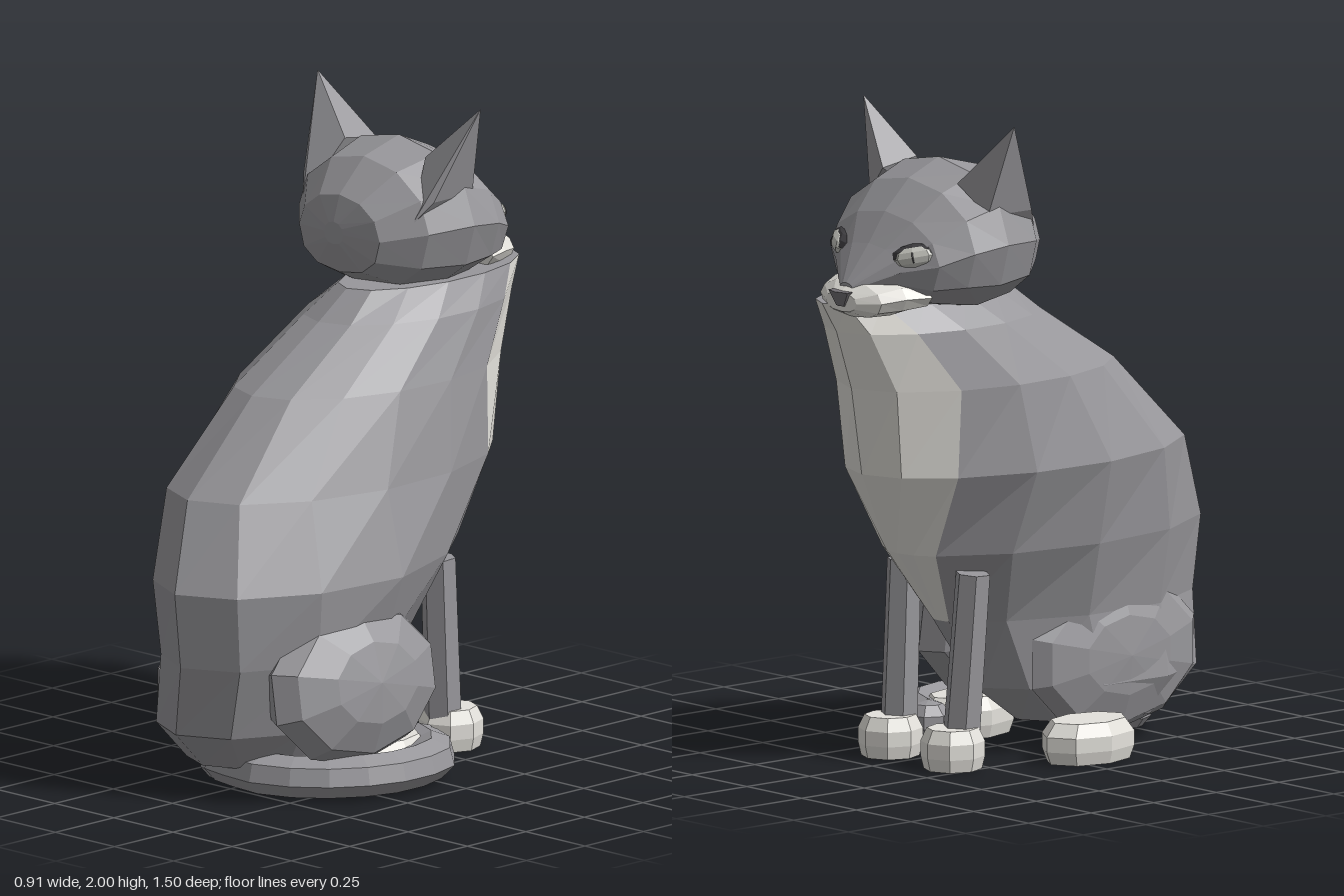
import * as THREE from 'three';
import { ConvexGeometry } from 'three/addons/geometries/ConvexGeometry.js';

const paint = (name, color) => Object.assign(new THREE.MeshStandardMaterial({ color }), { name });
const HEAD_X = -0.11;

// Gives every triangle its own normal for a faceted look
function facet(geo) {
  const g = geo.index ? geo.toNonIndexed() : geo;
  g.computeVertexNormals();
  return g;
}

// Skins a list of rings; isPale(i, j) sends a quad to the second material
function loft(rings, isPale = () => false) {
  const n = rings[0].length;
  const sets = [[], []];
  const tri = (k, ...pts) => pts.forEach((p) => sets[k].push(p.x, p.y, p.z));
  for (let i = 0; i < rings.length - 1; i++) {
    for (let j = 0; j < n; j++) {
      const k = isPale(i, j) ? 1 : 0;
      const a = rings[i][j], b = rings[i][(j + 1) % n];
      const c = rings[i + 1][j], d = rings[i + 1][(j + 1) % n];
      tri(k, a, c, b);
      tri(k, b, c, d);
    }
  }
  const middle = (ring) => ring.reduce((s, p) => s.add(p), new THREE.Vector3()).divideScalar(n);
  const first = rings[0], last = rings[rings.length - 1];
  for (let j = 0; j < n; j++) {
    tri(0, middle(first), first[j], first[(j + 1) % n]);
    tri(0, middle(last), last[(j + 1) % n], last[j]);
  }
  const g = new THREE.BufferGeometry();
  g.setAttribute('position', new THREE.Float32BufferAttribute([...sets[0], ...sets[1]], 3));
  g.addGroup(0, sets[0].length / 3, 0);
  g.addGroup(sets[0].length / 3, sets[1].length / 3, 1);
  g.computeVertexNormals();
  return g;
}

// Rounded head cross-section with a fuller lower half
function headRing([z, y0, y1, r]) {
  return Array.from({ length: 12 }, (_, j) => {
    const a = (j / 12) * Math.PI * 2;
    const power = a > Math.PI ? 0.85 : 1;
    const round = (v) => Math.sign(v) * Math.abs(v) ** power;
    return new THREE.Vector3(
      HEAD_X + r * round(Math.cos(a)), (y0 + y1) / 2 + ((y1 - y0) / 2) * round(Math.sin(a)), z);
  });
}

export function createModel() {
  const cat = new THREE.Group();
  cat.name = 'sittingCat';
  const fur = paint('greyFur', 0x98979b);
  const pale = paint('paleFur', 0xe4e2dc);
  const dark = paint('darkDetail', 0x3c3b3e);
  const iris = paint('eyeIris', 0xc4c4bd);
  const noseGrey = paint('noseGrey', 0x737074);

  const add = (name, geo, mat, pos = [0, 0, 0], parent = cat) => {
    const m = new THREE.Mesh(geo, mat);
    m.name = name;
    m.position.set(...pos);
    parent.add(m);
    return m;
  };

  // Body: y, x min, x max, z front, z back, bib half-angle, narrowing and sideways shift of the front
  const bodyRings = [
    [0.08, -0.24, 0.16, 0.05, 0.58, 0.08, 0.2, 0],
    [0.2, -0.3, 0.25, -0.12, 0.71, 0.08, 0.3, 0.02],
    [0.42, -0.28, 0.32, -0.26, 0.735, 0.18, 0.32, 0.05],
    [0.65, -0.33, 0.36, -0.44, 0.755, 0.42, 0.14, 0.06],
    [0.91, -0.39, 0.29, -0.585, 0.635, 0.78, 0, 0],
    [1.18, -0.35, 0.23, -0.635, 0.35, 1.0, 0, 0],
    [1.36, -0.29, 0.18, -0.69, 0.07, 0.95, 0, 0],
    [1.45, -0.2, 0.13, -0.73, -0.03, 0.89, 0, 0],
  ].map(([y, x0, x1, z0, z1, w, narrow, shift]) => {
    const ring = [];
    for (let j = 0; j < 14; j++) {
      const a = -Math.PI / 2 + (j < 4 ? -w + (w * j) / 2 : w + ((Math.PI - w) * (j - 4)) / 5);
      const s = Math.sin(a);
      const front = Math.max(0, -s);
      const rx = ((x1 - x0) / 2) * (1 - narrow * front);
      ring.push(new THREE.Vector3(
        (x0 + x1) / 2 - shift * front + rx * Math.cos(a), y, (z0 + z1) / 2 + ((z1 - z0) / 2) * s));
    }
    return ring;
  });
  add('body', loft(bodyRings, (i, j) => i > 1 && j < 4), [fur, pale]);

  // Head and nose bridge: z, y bottom, y top, half width
  const headRings = [
    [-0.05, 1.57, 1.64, 0.04],
    [-0.075, 1.48, 1.72, 0.17],
    [-0.18, 1.425, 1.82, 0.275],
    [-0.33, 1.405, 1.86, 0.32],
    [-0.45, 1.425, 1.81, 0.305],
    [-0.545, 1.445, 1.72, 0.25],
    [-0.61, 1.49, 1.63, 0.15],
    [-0.7, 1.485, 1.52, 0.03],
  ].map(headRing);
  add('head', loft(headRings), [fur, pale]);

  // Pale muzzle under the bridge
  const muzzleRings = [
    [-0.53, 1.43, 1.53, 0.2],
    [-0.61, 1.415, 1.545, 0.175],
    [-0.68, 1.415, 1.525, 0.14],
    [-0.72, 1.435, 1.495, 0.07],
  ].map(headRing);
  add('muzzle', loft(muzzleRings), [pale, pale]);
  add('nose', facet(new THREE.CylinderGeometry(0.05, 0.02, 0.045, 6).scale(1, 1, 0.5)), noseGrey, [HEAD_X, 1.475, -0.72]);

  // Paired face parts
  for (const [side, s] of [['left', 1], ['right', -1]]) {
    const earPoints = [
      [0.345, 2.0, -0.33], [0.17, 1.83, -0.27], [0.17, 1.81, -0.405],
      [0.275, 1.72, -0.2], [0.27, 1.72, -0.37], [0.23, 1.65, -0.15],
    ].map(([x, y, z]) => new THREE.Vector3(HEAD_X + s * x, y, z));
    add(side + 'Ear', new ConvexGeometry(earPoints), fur);

    // Almond eye: dark rim, iris and slit pupil stacked outward
    const eye = new THREE.Group();
    eye.name = side + 'Eye';
    eye.position.set(HEAD_X + s * 0.165, 1.605, -0.566);
    eye.lookAt(HEAD_X + s * 0.66, 1.7, -1.3);
    eye.rotateZ(s * -0.2);
    cat.add(eye);
    const almond = (name, mat, r, pos) =>
      add(name, facet(new THREE.SphereGeometry(1, 8, 6).scale(...r)), mat, pos, eye);
    almond('eyeRim', dark, [0.08, 0.038, 0.03], [0, 0.004, 0]);
    almond('iris', iris, [0.071, 0.034, 0.03], [0, 0, 0.008]);
    almond('pupil', dark, [0.009, 0.029, 0.03], [0, 0, 0.011]);
  }

  // Legs and paws
  const pawProfile = [[0, 0], [0.09, 0], [0.1, 0.04], [0.1, 0.085], [0.08, 0.125], [0, 0.125]]
    .map(([x, y]) => new THREE.Vector2(x, y));
  const paw = (name, x, z, sx, sz) =>
    add(name, facet(new THREE.LatheGeometry(pawProfile, 8).scale(sx, 1, sz)), pale, [x, 0, z]);
  for (const [side, x, lean] of [['left', 0.1, 0], ['right', -0.185, 0.06]]) {
    const leg = facet(new THREE.CylinderGeometry(0.054, 0.058, 0.5, 6));
    add(side + 'FrontLeg', leg, fur, [x - lean / 4, 0.345, -0.295]).rotation.set(0.04, 0, lean);
    paw(side + 'FrontPaw', x, -0.34, 0.95, 1);
  }
  paw('leftHindPaw', 0.21, 0.065, 1.1, 1.65);
  paw('rightHindPaw', -0.34, 0.065, 1.1, 1.65);

  // Haunches: lens shapes lying against the flanks
  const haunch = (name, pos, r, lean) => {
    const lens = new THREE.SphereGeometry(1, 10, 6).rotateZ(Math.PI / 2).scale(...r);
    add(name, facet(lens), fur, pos).rotation.z = lean;
  };
  haunch('leftHaunch', [0.265, 0.335, 0.255], [0.135, 0.25, 0.345], 0.15);
  haunch('rightHaunch', [-0.195, 0.28, 0.29], [0.09, 0.245, 0.34], 0);

  // Tail curling along the ground to the left side
  const path = new THREE.CatmullRomCurve3([
    [-0.08, 0.45], [0.14, 0.475], [0.31, 0.36], [0.385, 0.17], [0.335, -0.03], [0.19, -0.11],
  ].map(([x, z]) => new THREE.Vector3(x, 0, z)));
  const tail = new THREE.Group();
  tail.name = 'tail';
  tail.position.y = 0.066;
  tail.scale.y = 0.84;
  cat.add(tail);
  add('tailCurl', facet(new THREE.TubeGeometry(path, 10, 0.076, 7)), fur, [0, 0, 0], tail);
  for (const t of [0, 1]) {
    add('tailEnd', facet(new THREE.SphereGeometry(0.074, 7, 5)), fur, path.getPoint(t).toArray(), tail);
  }

  return cat;
}
